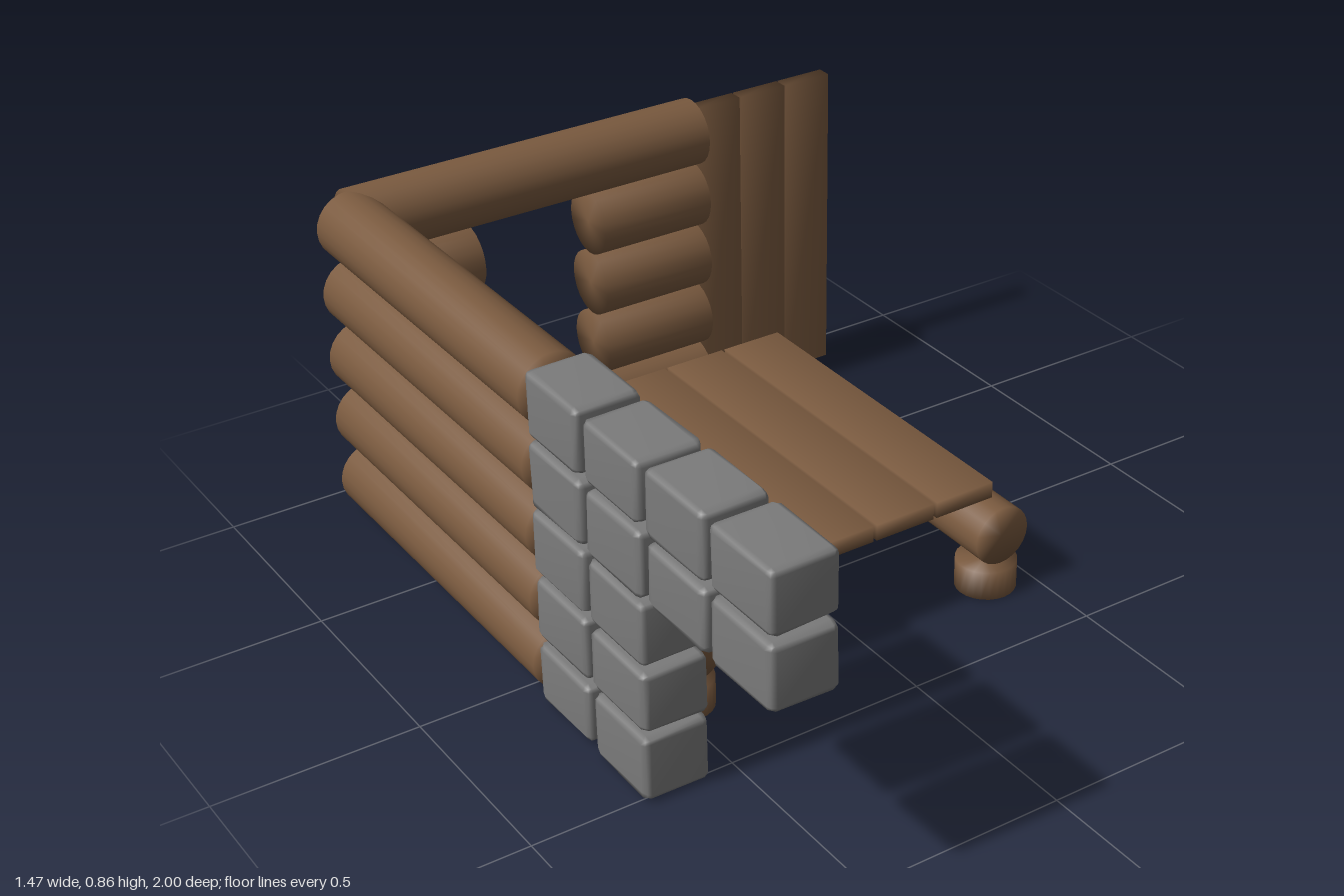
import * as THREE from 'three';
import { mergeVertices } from 'three/addons/utils/BufferGeometryUtils.js';

const wood = new THREE.MeshStandardMaterial({ color: 0x7a5a3f });
wood.name = 'brown wood';
const rock = new THREE.MeshStandardMaterial({ color: 0x7b7b7b });
rock.name = 'grey stone';

// Small seeded generator for the uneven stones, -1..1
let seed = 7;
const rand = () => {
  seed = (seed * 16807) % 2147483647;
  return (seed / 2147483647) * 2 - 1;
};

// Share the corners of a geometry so it shades softly across its edges
function soften(geo) {
  geo.deleteAttribute('normal');
  geo.deleteAttribute('uv');
  const merged = mergeVertices(geo, 1e-4);
  merged.computeVertexNormals();
  return merged;
}

function add(parent, name, geo, mat, x, y, z) {
  const mesh = new THREE.Mesh(geo, mat);
  mesh.name = name;
  mesh.position.set(x, y, z);
  parent.add(mesh);
  return mesh;
}

function group(parent, name) {
  const g = new THREE.Group();
  g.name = name;
  parent.add(g);
  return g;
}

// Round timber along the x, y or z axis
function round(axis, radius, length) {
  const geo = new THREE.CylinderGeometry(radius, radius, length, 24);
  if (axis === 'x') geo.rotateZ(Math.PI / 2);
  if (axis === 'z') geo.rotateX(Math.PI / 2);
  return soften(geo);
}

const plank = (w, h, d) => soften(new THREE.BoxGeometry(w, h, d));

// Block with chamfered edges and slightly uneven corners
function stoneBlock(w, h, d) {
  const geo = soften(new THREE.BoxGeometry(1, 1, 1, 3, 3, 3));
  const p = geo.attributes.position;
  const size = [w, h, d];
  for (let i = 0; i < p.count; i++) {
    const v = [p.getX(i), p.getY(i), p.getZ(i)];
    const outer = v.filter((c) => Math.abs(c) > 0.4).length;
    const reach = [0, 0.49, 0.465, 0.45][outer];
    const q = v.map((c, k) => {
      const a = Math.abs(c) > 0.4 ? reach : 0.4;
      return Math.sign(c) * (a + rand() * 0.012) * size[k];
    });
    p.setXYZ(i, q[0], q[1], q[2]);
  }
  geo.computeVertexNormals();
  return geo;
}

export function createModel() {
  const model = new THREE.Group();
  model.name = 'logCabinCorner';

  const R = 0.086;
  const rowY = (i) => R + i * 0.172;
  const wallX = -0.65;
  const wallZ = -0.915;

  // Side wall of stacked logs
  const side = group(model, 'sideWall');
  const sideLog = round('z', R, 0.965);
  for (let i = 0; i < 5; i++) add(side, 'sideLog', sideLog, wood, wallX, rowY(i), wallZ + 0.4825);

  // Back wall: full logs at bottom and top, short ones beside the window
  const back = group(model, 'backWall');
  for (let i = 0; i < 5; i++) {
    const spans = i === 0 || i === 4 ? [[-0.65, 0.315]] : [[-0.65, -0.34], [0, 0.315]];
    for (const [a, b] of spans) {
      add(back, 'backLog', round('x', R, b - a), wood, (a + b) / 2, rowY(i), wallZ);
    }
  }

  // Upright door planks
  const door = group(model, 'door');
  for (let i = 0; i < 3; i++) {
    add(door, 'doorPlank', plank(0.134, 0.838, 0.038), wood, 0.385 + i * 0.139, 0.419, -0.918);
  }

  // Raised floor: posts, round beams and planks
  const floor = group(model, 'floor');
  for (const x of [-0.47, 0.39]) {
    add(floor, 'floorBeam', round('z', 0.076, 0.975), wood, x, 0.163, -0.18);
    for (const z of [0.252, -0.608]) {
      add(floor, 'post', round('y', 0.075, 0.075), wood, x, 0.0375, z);
    }
  }
  for (let i = 0; i < 5; i++) {
    add(floor, 'floorPlank', plank(0.163, 0.042, 0.9), wood, -0.384 + i * 0.172, 0.273, -0.18);
  }

  // Stone wall carrying on from the side wall; the two upper rows are longer
  const stones = group(model, 'stoneWall');
  const stoneZ = [0.177, 0.415, 0.655, 0.89];
  for (let i = 0; i < 5; i++) {
    const count = i > 2 ? 4 : 2;
    for (let k = 0; k < count; k++) {
      add(stones, 'stone', stoneBlock(0.165, 0.157 + rand() * 0.008, 0.222), rock,
        wallX, rowY(i), stoneZ[k]);
    }
  }

  return model;
}
